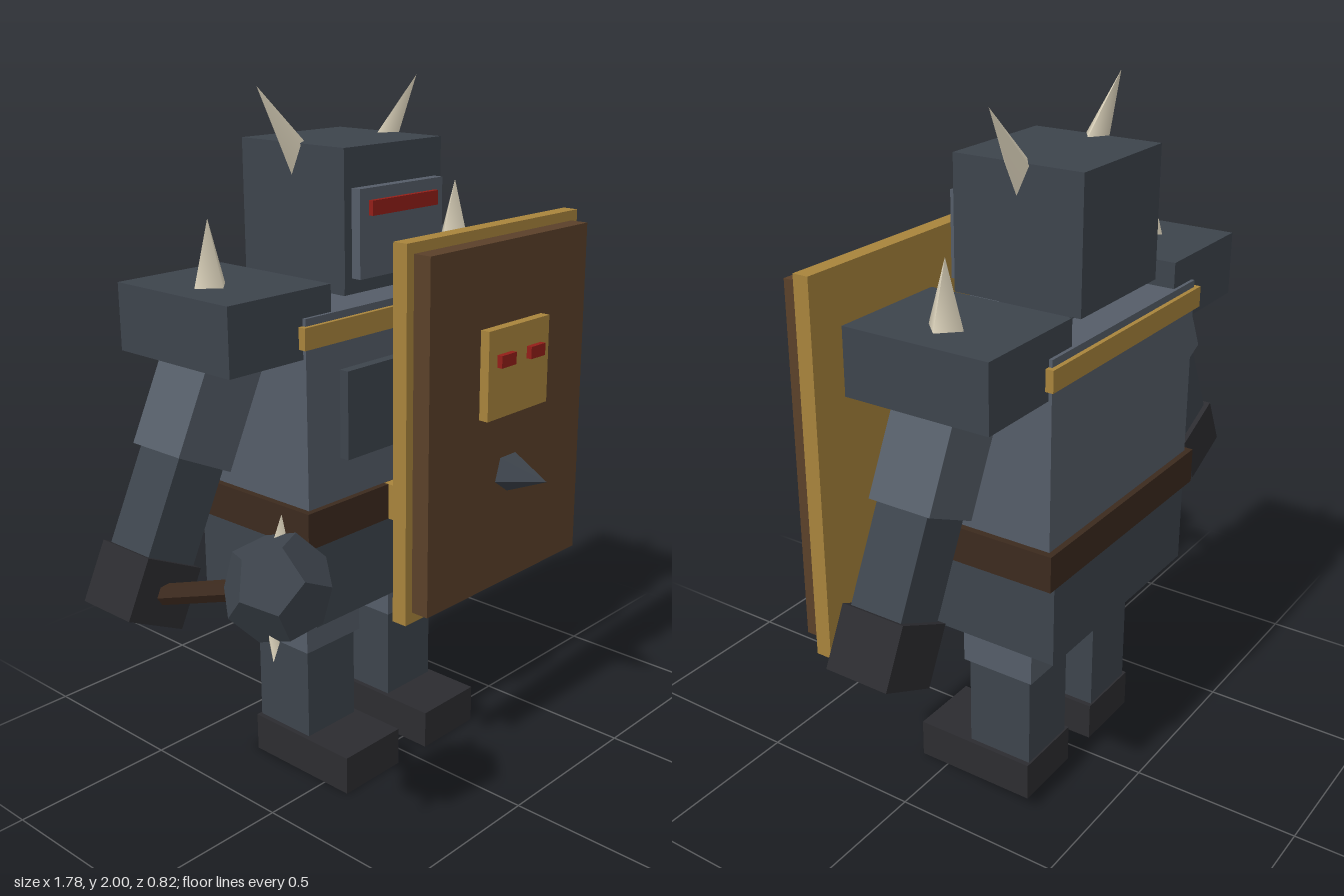
import * as THREE from 'three';

const COLORS = {
  dark: 0x3d444c, steel: 0x555d68, black: 0x2c2c30, gold: 0xa8843c,
  wood: 0x5a4029, leather: 0x3c2a1e, red: 0x931f18, bone: 0xd8cfb8,
};
const materials = {};
for (const key in COLORS) {
  materials[key] = new THREE.MeshStandardMaterial({ color: COLORS[key], flatShading: key !== 'bone' });
}

const BODY_Z = -0.18;

function add(parent, name, geometry, color, x = 0, y = 0, z = 0) {
  const mesh = new THREE.Mesh(geometry, materials[color]);
  mesh.name = name;
  mesh.position.set(x, y, z);
  parent.add(mesh);
  return mesh;
}

// Box given by its centre in x and z, its bottom and top heights, and its width and depth
function block(parent, name, color, w, y0, y1, d, x = 0, z = BODY_Z) {
  return add(parent, name, new THREE.BoxGeometry(w, y1 - y0, d), color, x, (y0 + y1) / 2, z);
}

// Four-sided spike whose base sits at (x, y, z)
function spike(parent, name, radius, height, x, y, z) {
  const geometry = new THREE.ConeGeometry(radius, height, 4).translate(0, height / 2, 0);
  return add(parent, name, geometry, 'bone', x, y, z);
}

function buildArm(side) {
  const arm = new THREE.Group();
  arm.name = side > 0 ? 'leftArm' : 'rightArm';
  arm.position.set(side * 0.47, 1.37, BODY_Z);
  arm.rotation.z = side * 0.45;
  block(arm, 'upperArm', 'steel', 0.19, -0.34, 0, 0.185, 0, 0);
  block(arm, 'forearm', 'dark', 0.16, -0.62, -0.33, 0.155, 0, 0);
  block(arm, 'hand', 'black', 0.187, -0.773, -0.605, 0.187, 0, 0);
  return arm;
}

function buildLeg(side) {
  const leg = new THREE.Group();
  leg.name = side > 0 ? 'leftLeg' : 'rightLeg';
  leg.position.x = side * 0.175;
  block(leg, 'thigh', 'steel', 0.22, 0.4, 0.6, 0.23);
  block(leg, 'shin', 'dark', 0.195, 0.1, 0.41, 0.205);
  block(leg, 'boot', 'black', 0.225, 0, 0.117, 0.38, 0, -0.098);
  return leg;
}

function buildMace() {
  const mace = new THREE.Group();
  mace.name = 'mace';
  mace.position.y = -0.72;
  mace.rotation.x = 1.24;
  add(mace, 'maceHandle', new THREE.CylinderGeometry(0.028, 0.028, 0.5, 6), 'leather', 0, 0.22, 0);
  add(mace, 'maceHead', new THREE.DodecahedronGeometry(0.14), 'dark', 0, 0.485, 0);
  for (const s of [-1, 1]) {
    spike(mace, 'maceSpike', 0.035, 0.1, 0, 0.485, s * 0.08).rotation.x = s * Math.PI / 2;
  }
  return mace;
}

function buildShield() {
  const shield = new THREE.Group();
  shield.name = 'shield';
  shield.position.x = 0.246;
  block(shield, 'shieldFrame', 'gold', 0.768, 0.517, 1.61, 0.048, 0, 0.16);
  block(shield, 'shieldBoard', 'wood', 0.712, 0.55, 1.58, 0.06, 0, 0.211);
  block(shield, 'shieldPlate', 'gold', 0.278, 1.085, 1.345, 0.034, 0, 0.254);
  for (const s of [-1, 1]) {
    block(shield, 'shieldEye', 'red', 0.066, 1.236, 1.272, 0.02, s * 0.068, 0.278);
  }
  const boss = add(shield, 'shieldSpike', new THREE.ConeGeometry(0.065, 0.15, 5), 'dark', 0, 0.897, 0.307);
  boss.rotation.x = Math.PI / 2;
  return shield;
}

export function createModel() {
  const model = new THREE.Group();
  model.name = 'armouredWarrior';

  // Head
  block(model, 'neck', 'dark', 0.22, 1.4, 1.5, 0.22);
  block(model, 'helmet', 'dark', 0.39, 1.475, 1.846, 0.39);
  block(model, 'facePlate', 'steel', 0.335, 1.5, 1.74, 0.05, 0, 0.02);
  block(model, 'visorSlit', 'red', 0.265, 1.668, 1.708, 0.03, 0, 0.045);

  // Torso
  block(model, 'torso', 'steel', 0.75, 0.8, 1.43, 0.45);
  block(model, 'chestTrim', 'gold', 0.78, 1.35, 1.41, 0.476);
  block(model, 'chestPlate', 'dark', 0.5, 1.02, 1.27, 0.05, 0, 0.05);
  block(model, 'belt', 'leather', 0.79, 0.795, 0.9, 0.485);
  block(model, 'beltBuckle', 'gold', 0.15, 0.795, 0.9, 0.04, 0, 0.067);
  block(model, 'hips', 'dark', 0.72, 0.55, 0.81, 0.465);

  // Mirrored parts
  for (const side of [-1, 1]) {
    spike(model, 'helmetHorn', 0.056, 0.3, side * 0.133, 1.76, BODY_Z).rotation.z = -side * 0.65;
    block(model, 'shoulderPad', 'dark', 0.36, 1.32, 1.505, 0.43, side * 0.45);
    spike(model, 'shoulderSpike', 0.054, 0.18, side * 0.498, 1.5, BODY_Z);
    const arm = buildArm(side);
    if (side < 0) arm.add(buildMace());
    model.add(arm, buildLeg(side));
  }

  model.add(buildShield());
  return model;
}
